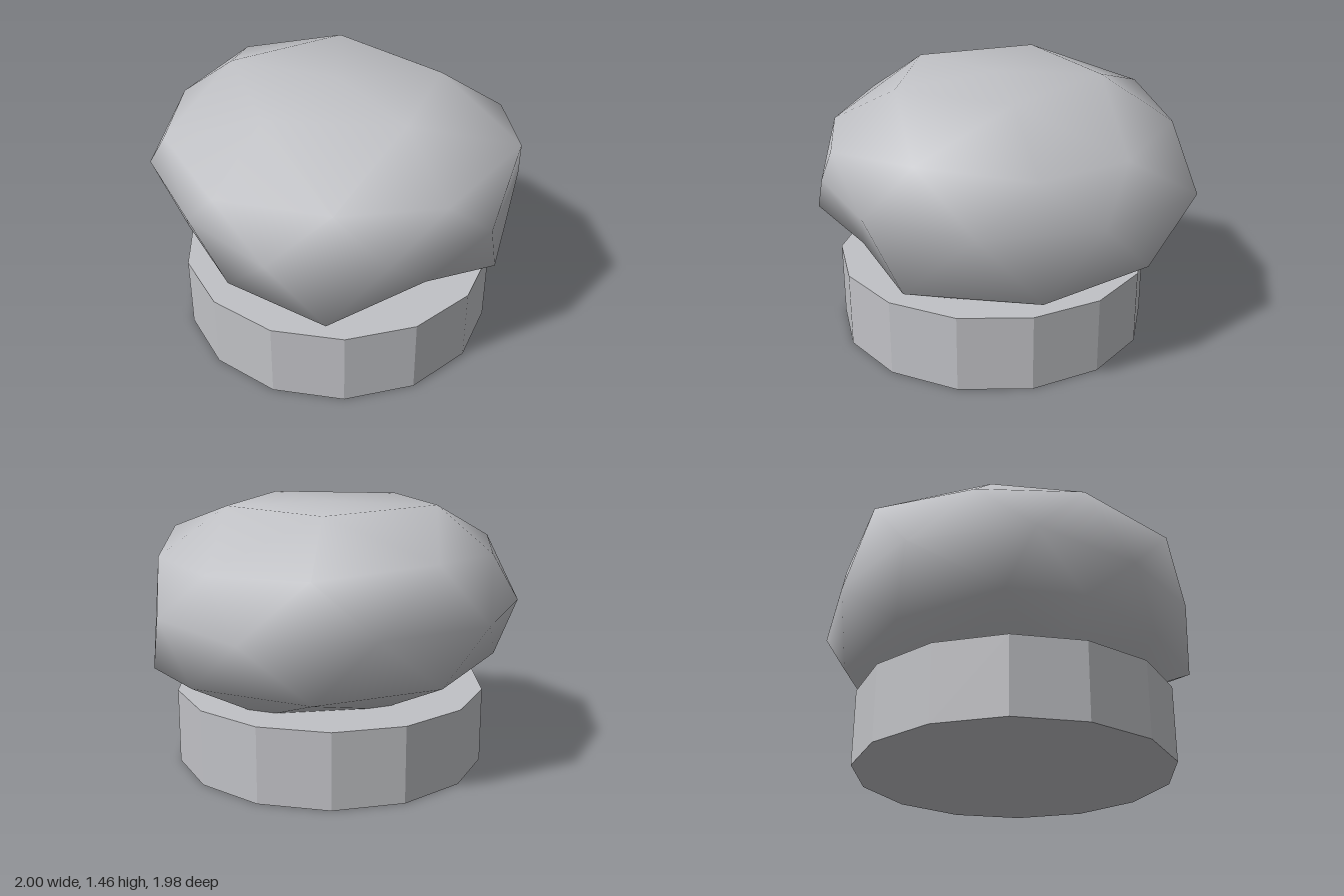
import * as THREE from 'three';

// Boulder corners (x, y, z), ring by ring from the crown down; each ring turns from +x towards +z
const crown = [0, 1.455, 0];
const top = [[0.57, 1.44, 0.06], [0.2, 1.45, 0.59], [-0.47, 1.45, 0.34], [-0.5, 1.462, -0.33], [0.17, 1.45, -0.53]];
const upper = [
  [0.95, 1.18, 0.04], [0.81, 1.26, 0.61], [0.3, 1.18, 0.94], [-0.25, 1.18, 0.87], [-0.78, 1.19, 0.59],
  [-0.93, 1.235, 0.01], [-0.75, 1.22, -0.52], [-0.31, 1.26, -0.92], [0.31, 1.2, -0.9], [0.76, 1.17, -0.48],
];
const belt = [
  [0.95, 0.34], [0.59, 0.83], [0, 0.98], [-0.58, 0.82], [-0.88, 0.32],
  [-1, -0.3], [-0.62, -0.83], [0, -0.99], [0.67, -0.905], [0.99, -0.29],
].map(([x, z]) => [x, 0.915, z]);
const lower = [
  [1, 0.56, 0.02], [0.71, 0.55, 0.66], [0.26, 0.64, 0.8], [-0.32, 0.63, 0.99], [-0.72, 0.62, 0.52],
  [-0.85, 0.68, 0.04], [-0.83, 0.64, -0.39], [-0.39, 0.59, -0.79], [0.3, 0.58, -0.87], [0.85, 0.62, -0.58],
];
const bottom = [[0.48, 0.36, 0.35], [-0.21, 0.46, 0.56], [-0.53, 0.37, 0], [-0.17, 0.38, -0.43], [0.45, 0.36, -0.33]];
const foot = [0, 0.34, 0];

// Triangulates the rings as a once-divided icosahedron standing on a corner
function boulderGeometry() {
  const points = [crown, ...top, ...upper, ...belt, ...lower, ...bottom, foot];
  const T = 0, F = 41;
  const a = (i) => 1 + ((i + 5) % 5);
  const b = (i) => 6 + ((i + 10) % 10);
  const c = (i) => 16 + ((i + 10) % 10);
  const d = (i) => 26 + ((i + 10) % 10);
  const e = (i) => 36 + ((i + 5) % 5);
  const index = [];

  // crown and foot caps
  for (let k = 0; k < 5; k++) {
    const j = 2 * k;
    index.push(a(k + 1), a(k), T);
    index.push(b(j + 1), b(j), a(k));
    index.push(a(k), a(k + 1), b(j + 1));
    index.push(b(j + 2), b(j + 1), a(k + 1));
    index.push(d(j), d(j + 1), e(k));
    index.push(d(j + 1), d(j + 2), e(k));
    index.push(e(k), e(k - 1), d(j));
    index.push(e(k), e(k + 1), F);
  }
  // flanks above and below the belt
  for (let j = 0; j < 10; j++) {
    index.push(b(j), b(j + 1), c(j));
    index.push(c(j), c(j - 1), b(j));
    index.push(c(j - 1), c(j), d(j));
    index.push(d(j + 1), d(j), c(j));
  }

  const geometry = new THREE.BufferGeometry();
  geometry.setAttribute('position', new THREE.Float32BufferAttribute(points.flat(), 3));
  geometry.setIndex(index);
  geometry.computeVertexNormals();
  return geometry;
}

export function createModel() {
  const model = new THREE.Group();
  const stone = new THREE.MeshStandardMaterial({ color: 0xc0c1c5 });
  stone.name = 'stoneGrey';

  // Fourteen-sided plinth with a flat side facing forward
  const sides = 14;
  const plinthGeometry = new THREE.CylinderGeometry(0.874, 0.874, 0.42, sides, 1, false, Math.PI / sides).toNonIndexed();
  plinthGeometry.computeVertexNormals();
  const plinth = new THREE.Mesh(plinthGeometry, stone);
  plinth.name = 'plinth';
  plinth.position.set(0, 0.21, 0.03);
  model.add(plinth);

  const boulder = new THREE.Mesh(boulderGeometry(), stone);
  boulder.name = 'boulder';
  model.add(boulder);

  return model;
}
